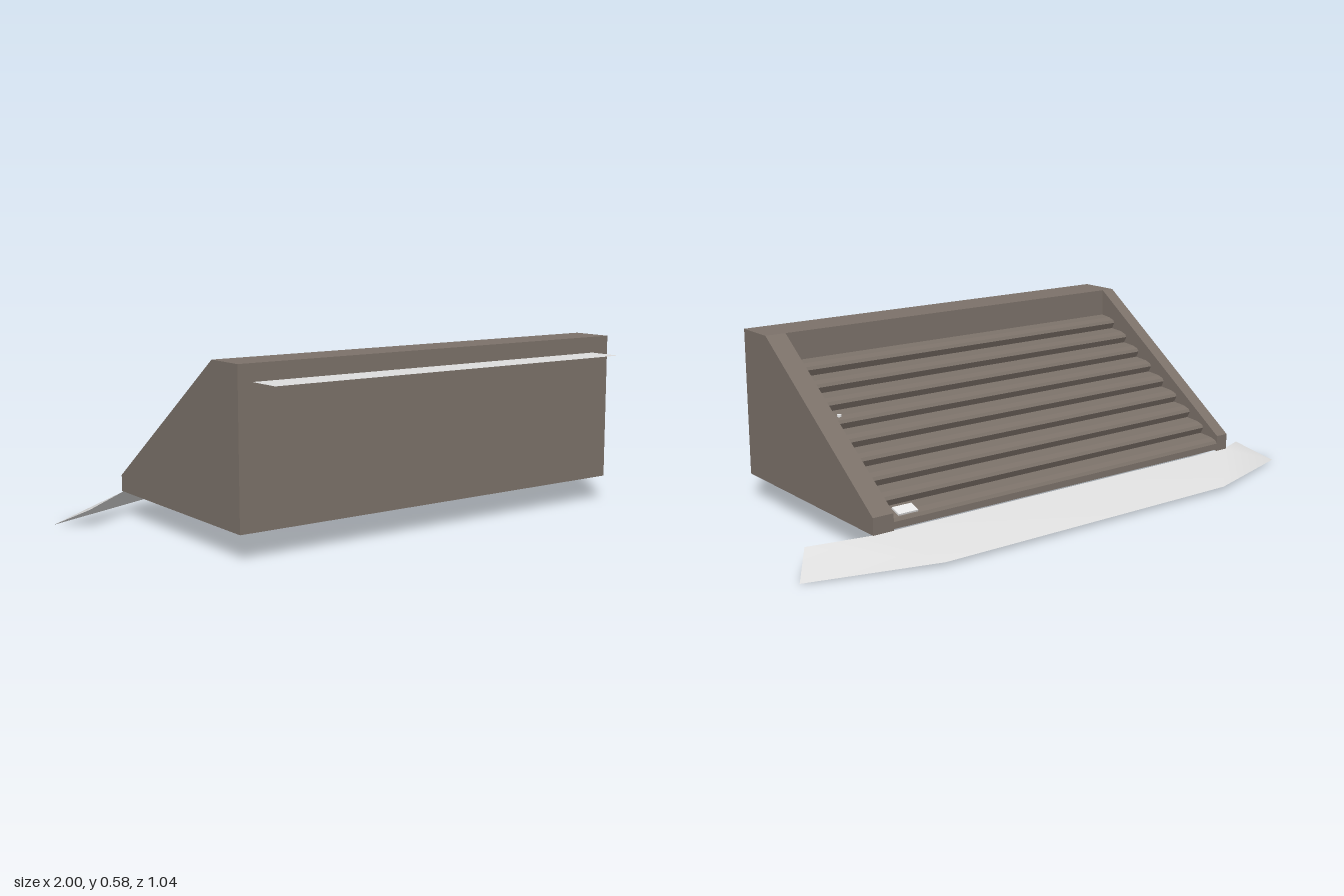
import * as THREE from 'three';

const material = (name, color, side = THREE.FrontSide) => {
  const m = new THREE.MeshStandardMaterial({ color, side });
  m.name = name;
  return m;
};

export function createModel() {
  const group = new THREE.Group();
  group.name = 'slattedWedgeVent';
  const casing = material('taupe casing', 0x7b7169);
  const sheet = material('pale grey sheet', 0xdcdcdc, THREE.DoubleSide);
  const white = material('white label', 0xf2f2f2);

  const add = (name, geometry, mat) => {
    const mesh = new THREE.Mesh(geometry, mat);
    mesh.name = name;
    group.add(mesh);
    return mesh;
  };

  // Extrudes a [z, y] outline sideways between two x positions
  const sideExtrude = (points, x0, x1) => {
    const shape = new THREE.Shape(points.map(([z, y]) => new THREE.Vector2(z, y)));
    const g = new THREE.ExtrudeGeometry(shape, { depth: x1 - x0, bevelEnabled: false });
    return g.rotateY(-Math.PI / 2).translate(x1, 0, 0);
  };

  // Casing: two wedge cheeks and the deep front beam, open underneath
  const wedge = [[0.398, 0.085], [0.398, 0.585], [0.25, 0.585], [-0.375, 0.14], [-0.375, 0.085]];
  add('rightCheek', sideExtrude(wedge, -0.757, -0.708), casing);
  add('leftCheek', sideExtrude(wedge, 0.672, 0.745), casing);
  add('frontBeam', sideExtrude(
    [[0.398, 0.085], [0.398, 0.585], [0.25, 0.585], [0.25, 0.085]], -0.708, 0.672), casing);

  // Sunken slats: overlapping steps with undercut lips, thin underneath
  const steps = 9, zBack = -0.375, zTop = 0.25, yBack = 0.09, yTop = 0.49;
  const dz = (zTop - zBack) / steps, dy = (yTop - yBack) / steps;
  const profile = [];
  for (let i = 0; i < steps; i++) {
    const z = zBack + i * dz, y = yBack + i * dy;
    profile.push([z + (i ? 0.012 : 0), y], [z, y + 0.022], [z + 0.006, y + 0.032], [z + 0.03, y + 0.04]);
  }
  profile.push([zTop, yTop], [zTop, yTop - 0.03], [zBack + 0.03, yBack - 0.005]);
  add('slats', sideExtrude(profile, -0.708, 0.672), casing);

  // Rear apron: sloping sheet with two swept wing tips
  const inner = [[-0.92, 0.06, -0.275], [-0.75, 0.085, -0.372], [0.745, 0.085, -0.372], [0.92, 0.06, -0.275]];
  const outer = [[-1, 0, -0.385], [-0.59, 0.012, -0.525], [0.59, 0.012, -0.525], [1, 0, -0.385]];
  const apron = new THREE.BufferGeometry();
  apron.setAttribute('position', new THREE.Float32BufferAttribute([...inner, ...outer].flat(), 3));
  const index = [];
  for (let i = 0; i < 3; i++) index.push(i, i + 1, i + 4, i + 1, i + 5, i + 4);
  apron.setIndex(index);
  apron.computeVertexNormals();
  add('rearApron', apron, sheet);

  // Flat ledge projecting from the front
  const ledge = new THREE.PlaneGeometry(1.38, 0.122).rotateX(-Math.PI / 2);
  add('frontLedge', ledge, sheet).position.set(-0.018, 0.53, 0.459);

  // Small label on the lowest slat, and a stud part way up
  const label = add('label', new THREE.BoxGeometry(0.07, 0.006, 0.04), white);
  label.position.set(0.615, 0.134, -0.35);
  label.rotation.x = -0.3;
  const stud = add('stud', new THREE.CylinderGeometry(0.007, 0.007, 0.008, 10), white);
  stud.position.set(0.632, 0.356, -0.008);

  return group;
}
